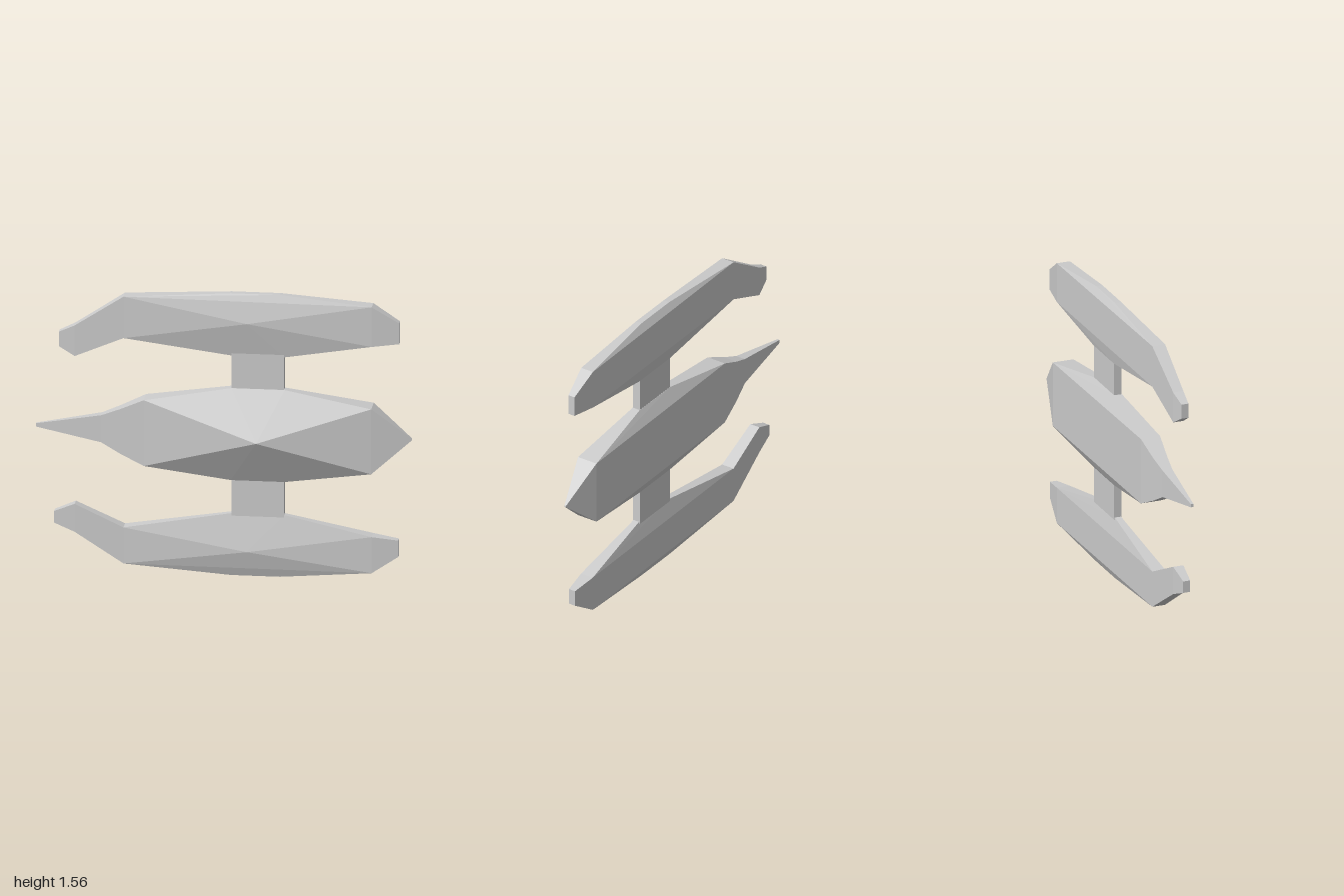
import * as THREE from 'three';
import { ConvexGeometry } from 'three/addons/geometries/ConvexGeometry.js';

const material = new THREE.MeshStandardMaterial({ color: 0xcccccc, flatShading: true });

function addMesh(group, name, geometry) {
  const mesh = new THREE.Mesh(geometry, material);
  mesh.name = name;
  group.add(mesh);
}

// Faceted pod: end sections [x, yLow, yHigh, zFront, zBack], narrow ridges
// [x0, x1, y, zFront, zBack] above and below, and a raised point on the front
function pod(ends, ridges, apex) {
  const points = [new THREE.Vector3(...apex)];
  for (const [x, y0, y1, zf, zb] of ends)
    for (const y of [y0, y1]) for (const z of [zf, zb]) points.push(new THREE.Vector3(x, y, z));
  for (const [x0, x1, y, zf, zb] of ridges)
    for (const x of [x0, x1]) for (const z of [zf, zb]) points.push(new THREE.Vector3(x, y, z));
  return new ConvexGeometry(points);
}

// Rectangular sections joined from low x to high x, closed at the outer end only
function taper(sections, capRight) {
  const rings = sections.map(([x, y0, y1, zf, zb]) => [[x, y0, zf], [x, y1, zf], [x, y1, zb], [x, y0, zb]]);
  const pos = [];
  const quad = (a, b, c, d) => pos.push(...a, ...b, ...c, ...a, ...c, ...d);
  for (let s = 0; s + 1 < rings.length; s++) {
    const a = rings[s], b = rings[s + 1];
    for (let i = 0; i < 4; i++) quad(a[i], b[i], b[(i + 1) % 4], a[(i + 1) % 4]);
  }
  if (capRight) {
    const r = rings[rings.length - 1];
    quad(r[0], r[3], r[2], r[1]);
  } else quad(...rings[0]);
  const geometry = new THREE.BufferGeometry();
  geometry.setAttribute('position', new THREE.Float32BufferAttribute(pos, 3));
  geometry.computeVertexNormals();
  return geometry;
}

// One horizontal body: pod in the middle, a taper at each end
function body(name, { left, right, ridges, apex, tail, nose }) {
  const group = new THREE.Group();
  group.name = name;
  addMesh(group, name + 'Pod', pod([left, right], ridges, apex));
  addMesh(group, name + 'Tail', taper([...tail, left], false));
  addMesh(group, name + 'Nose', taper([right, ...nose], true));
  return group;
}

export function createModel() {
  const model = new THREE.Group();
  model.name = 'model';

  // Central hull with long thin tail and pointed nose
  model.add(body('hull', {
    left: [-0.42, 0.6, 0.965, 0.005, -0.105],
    right: [0.79, 0.6, 0.96, 0.005, -0.113],
    ridges: [[0.04, 0.325, 1.04, -0.025, -0.07], [0.04, 0.325, 0.53, -0.025, -0.07]],
    apex: [0.19, 0.78, 0.113],
    tail: [[-1, 0.782, 0.8, -0.043, -0.057], [-0.65, 0.715, 0.865, -0.02, -0.075], [-0.55, 0.66, 0.905, -0.01, -0.09]],
    nose: [[1, 0.778, 0.786, -0.052, -0.062]],
  }));

  // Upper arm, tail bent down
  model.add(body('upperArm', {
    left: [-0.53, 1.3, 1.53, -0.012, -0.085],
    right: [0.79, 1.3, 1.52, -0.015, -0.09],
    ridges: [[0.04, 0.3, 1.565, -0.03, -0.065], [0.04, 0.325, 1.22, -0.03, -0.07]],
    apex: [0.13, 1.41, 0.012],
    tail: [[-0.875, 1.24, 1.32, -0.02, -0.06], [-0.79, 1.19, 1.36, -0.014, -0.072]],
    nose: [[0.935, 1.315, 1.43, -0.033, -0.072]],
  }));

  // Lower arm, tail bent up
  model.add(body('lowerArm', {
    left: [-0.53, 0.05, 0.25, -0.012, -0.085],
    right: [0.79, 0.045, 0.245, -0.015, -0.09],
    ridges: [[0.04, 0.3, 0.002, -0.03, -0.065], [0.04, 0.325, 0.345, -0.03, -0.065]],
    apex: [0.13, 0.145, 0.012],
    tail: [[-0.9, 0.26, 0.325, -0.02, -0.06], [-0.79, 0.215, 0.37, -0.014, -0.072]],
    nose: [[0.93, 0.135, 0.225, -0.033, -0.072]],
  }));

  // Flat struts joining the arms to the hull
  for (const [name, y] of [['upperStrut', 1.13], ['lowerStrut', 0.4375]]) {
    const geometry = new THREE.BoxGeometry(0.28, 0.21, 0.042);
    geometry.translate(0.182, y, -0.048);
    addMesh(model, name, geometry);
  }
  return model;
}
